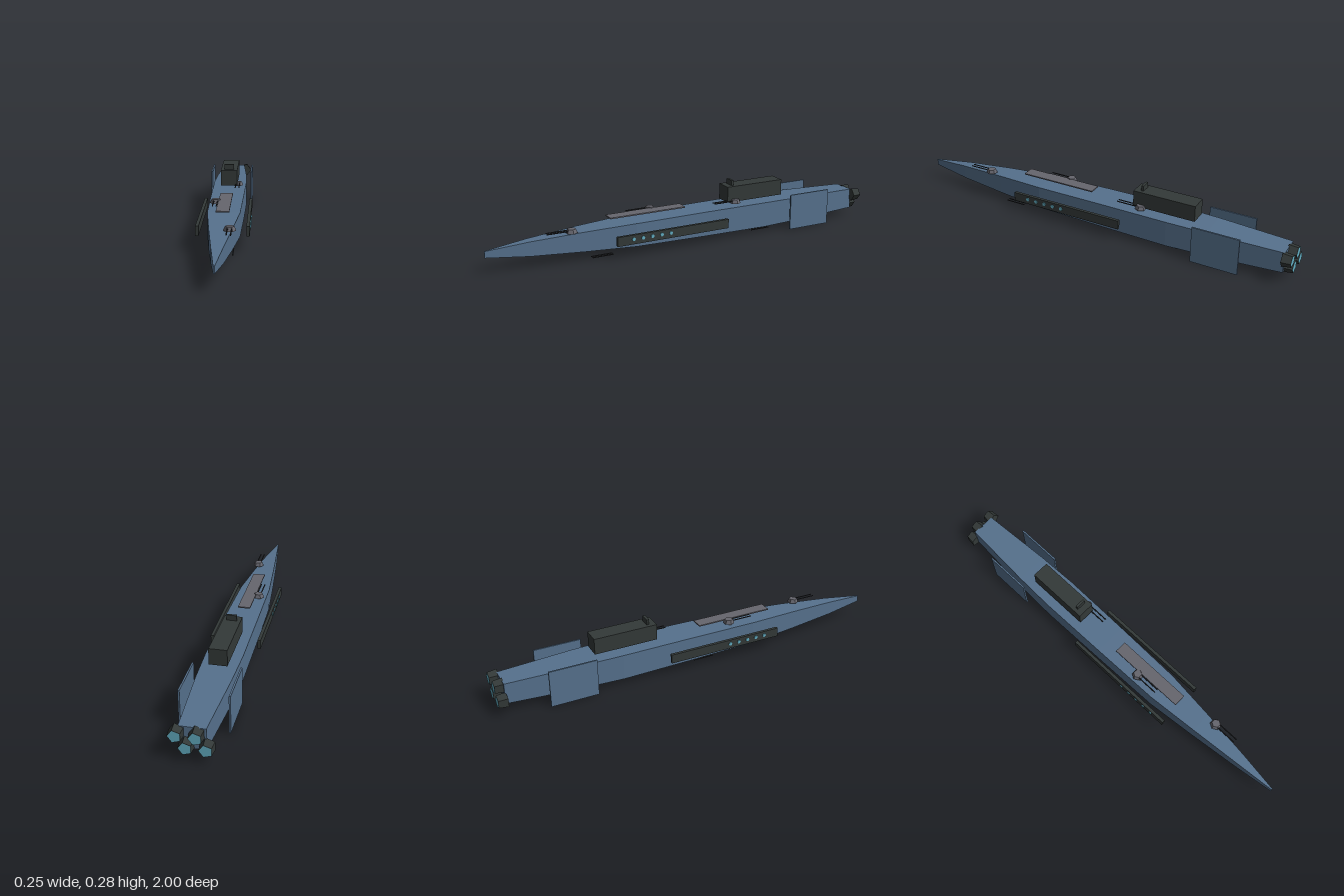
import * as THREE from 'three';

const mat = (name, color) => {
  const m = new THREE.MeshStandardMaterial({ color, flatShading: true });
  m.name = name;
  return m;
};

export function createModel() {
  const ship = new THREE.Group();
  ship.name = 'spaceCruiser';
  const blue = mat('hullBlue', 0x56718d);
  const dark = mat('darkArmour', 0x333938);
  const grey = mat('turretGrey', 0x66666e);
  const black = mat('gunMetal', 0x25272a);
  const cyan = mat('glowCyan', 0x62adc2);

  const add = (parent, name, geo, material, x = 0, y = 0, z = 0) => {
    const mesh = new THREE.Mesh(geo, material);
    mesh.name = name;
    mesh.position.set(x, y, z);
    parent.add(mesh);
    return mesh;
  };
  const box = (name, w, h, d, material, x, y, z) =>
    add(ship, name, new THREE.BoxGeometry(w, h, d), material, x, y, z);

  // Hull: rectangular sections [z, half width, bottom, top], nose to stern
  const sections = [
    [1, 0.003, 0.076, 0.107],
    [0.8, 0.026, 0.057, 0.126],
    [0.55, 0.052, 0.045, 0.14],
    [0.3, 0.075, 0.036, 0.149],
    [-0.05, 0.081, 0.031, 0.153],
    [-0.4, 0.085, 0.028, 0.154],
    [-0.6, 0.079, 0.032, 0.152],
    [-0.96, 0.058, 0.043, 0.145],
  ];
  const pos = [];
  const idx = [];
  for (const [z, w, b, t] of sections) pos.push(-w, b, z, w, b, z, w, t, z, -w, t, z);
  for (let s = 0; s < sections.length - 1; s++) {
    for (let k = 0; k < 4; k++) {
      const a = s * 4 + k, b = s * 4 + (k + 1) % 4;
      idx.push(a, a + 4, b, b, a + 4, b + 4);
    }
  }
  const e = (sections.length - 1) * 4;
  idx.push(0, 1, 2, 0, 2, 3, e, e + 2, e + 1, e, e + 3, e + 2);
  const hull = new THREE.BufferGeometry();
  hull.setAttribute('position', new THREE.Float32BufferAttribute(pos, 3));
  hull.setIndex(idx);
  const flatHull = hull.toNonIndexed();
  flatHull.computeVertexNormals();
  add(ship, 'hull', flatHull, blue);

  // Superstructure and raised deck plate
  box('bridge', 0.084, 0.079, 0.315, dark, 0, 0.2095, -0.367);
  box('bridgeMast', 0.048, 0.028, 0.012, dark, 0, 0.261, -0.247);
  box('deckPlate', 0.06, 0.006, 0.39, grey, 0, 0.177, 0.217);

  // Side fins, broadside batteries and their glowing ports
  const portGeo = new THREE.CylinderGeometry(0.009, 0.009, 0.012, 8).rotateZ(Math.PI / 2);
  for (const side of [-1, 1]) {
    box('sideFin', 0.008, 0.181, 0.23, blue, side * 0.108, 0.0905, -0.655);
    box('broadside', 0.015, 0.045, 0.587, dark, side * 0.1135, 0.09, 0.123);
    for (let i = 0; i < 5; i++) add(ship, 'gunPort', portGeo, cyan, side * 0.119, 0.093, 0.337 - i * 0.048);
  }

  // Twin barrels pointing forward
  const barrels = (parent, x, y, z, length) => {
    const geo = new THREE.CylinderGeometry(0.003, 0.003, length, 6).rotateX(Math.PI / 2);
    for (const s of [-1, 1]) add(parent, 'barrel', geo, black, x + s * 0.009, y, z);
  };

  // Deck turrets
  const turretGeo = new THREE.CylinderGeometry(0.02, 0.028, 0.019, 6, 1, false, Math.PI / 6);
  for (const [x, y, z] of [[0.041, 0.153, 0.608], [-0.043, 0.175, 0.178], [0.044, 0.175, -0.25]]) {
    const turret = new THREE.Group();
    turret.name = 'turret';
    turret.position.set(x, y, z);
    add(turret, 'turretBase', turretGeo, grey);
    barrels(turret, 0, 0.002, 0.068, 0.104);
    ship.add(turret);
  }

  // Ventral guns
  for (const [x, z] of [[0.041, 0.462], [-0.043, 0.034], [0.041, -0.398]]) barrels(ship, x, 0.009, z, 0.104);

  // Staggered five-sided engines
  const nozzle = new THREE.CylinderGeometry(0.035, 0.03, 0.045, 5).rotateX(Math.PI / 2).rotateZ(Math.PI / 2);
  const glow = new THREE.CircleGeometry(0.029, 5).rotateX(Math.PI);
  for (let i = 0; i < 4; i++) {
    const x = -0.063 + i * 0.042, y = i % 2 ? 0.118 : 0.066;
    add(ship, 'engine', nozzle, dark, x, y, -0.977);
    add(ship, 'engineGlow', glow, cyan, x, y, -1);
  }
  return ship;
}
